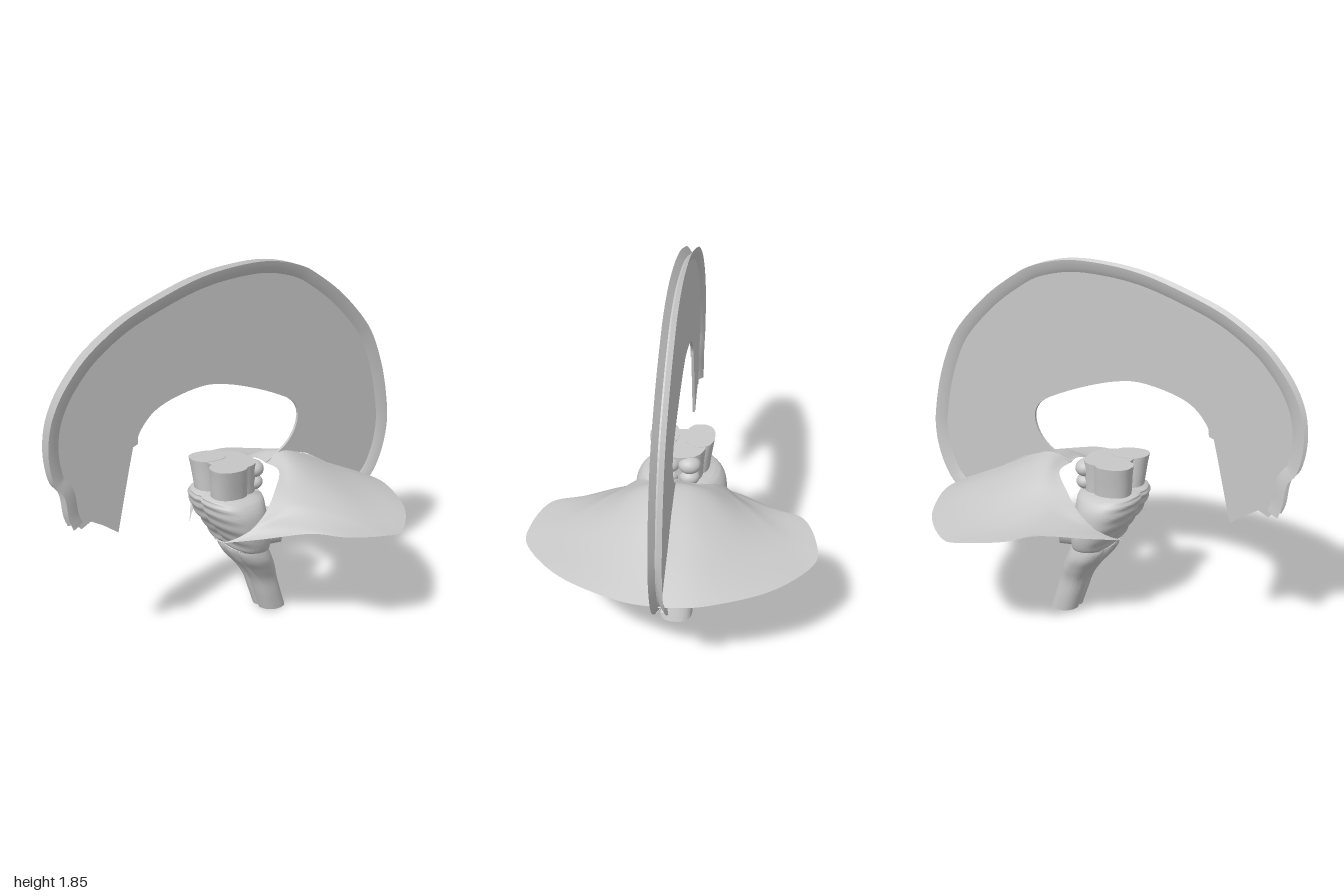
import * as THREE from 'three';
import { toCreasedNormals } from 'three/addons/utils/BufferGeometryUtils.js';

const tissue = new THREE.MeshStandardMaterial({ color: 0xc8c8c8, side: THREE.DoubleSide });

// Surface through rows of points; closed rows may be capped at both ends
function loft(rows, closed, crease = 0.8) {
  const n = rows[0].length, pos = [], idx = [];
  rows.forEach(r => r.forEach(p => pos.push(...p)));
  for (let i = 0; i < rows.length - 1; i++) {
    for (let j = 0; j < (closed ? n : n - 1); j++) {
      const a = i * n + j, d = i * n + (j + 1) % n;
      idx.push(a, a + n, d + n, a, d + n, d);
    }
  }
  if (closed) {
    [0, rows.length - 1].forEach((r, top) => {
      const c = pos.length / 3;
      pos.push(...[0, 1, 2].map(k => rows[r].reduce((s, p) => s + p[k], 0) / n));
      for (let j = 0; j < n; j++) {
        const a = r * n + j, b = r * n + (j + 1) % n;
        top ? idx.push(c, b, a) : idx.push(c, a, b);
      }
    });
  }
  const g = new THREE.BufferGeometry();
  g.setAttribute('position', new THREE.Float32BufferAttribute(pos, 3));
  g.setIndex(idx);
  return toCreasedNormals(g, crease);
}

const spline = pts => new THREE.CatmullRomCurve3(pts.map(p => new THREE.Vector3(p[0], p[1], p[2] || 0)), false, 'catmullrom');

// Stem from rings [y, centreX, radiusX, zFront, zBack]; shape() may move each point
function stem(rings, steps, shape = p => p) {
  const a = spline(rings.map(r => [r[0], r[1], r[2]])), b = spline(rings.map(r => [r[3], r[4]]));
  const rows = [];
  for (let i = 0; i <= steps; i++) {
    const t = i / steps, A = a.getPoint(t), B = b.getPoint(t);
    const mid = (B.x + B.y) / 2, rz = (B.x - B.y) / 2, row = [];
    for (let j = 0; j < 64; j++) {
      const w = j / 64 * Math.PI * 2, c = Math.cos(w), s = Math.sin(w);
      const z = rz * Math.sign(s) * Math.abs(s) ** 0.85;
      const x = A.z * Math.sign(c) * Math.abs(c) ** 0.85;
      row.push(shape([A.y + x, A.x + 0.06 * z, mid + z], t, s));
    }
    rows.push(row);
  }
  return loft(rows, true);
}

export function createModel() {
  const model = new THREE.Group();
  const add = (name, geo) => {
    const m = new THREE.Mesh(geo, tissue);
    m.name = name;
    model.add(m);
    return m;
  };
  const both = (name, make) => [1, -1].forEach(s => {
    const m = make((s > 0 ? 'left' : 'right') + name);
    m.scale.x *= s;
  });

  // Outer arc of the upright sheet, as (z, y), front to back
  const arc = spline([[0.9, 0.76], [0.92, 0.82], [0.935, 0.93], [0.98, 1.0], [1, 1.13], [0.985, 1.26],
    [0.94, 1.37], [0.87, 1.47], [0.77, 1.57], [0.6, 1.68], [0.4, 1.76], [0.2, 1.82], [0, 1.848],
    [-0.2, 1.848], [-0.38, 1.805], [-0.5, 1.74], [-0.65, 1.63], [-0.8, 1.48], [-0.88, 1.36],
    [-0.95, 1.18], [-0.99, 1.0], [-1, 0.88], [-0.98, 0.75], [-0.93, 0.63], [-0.86, 0.55], [-0.79, 0.49]]);
  const rimAt = (t, inset) => {
    const p = arc.getPoint(t), d = arc.getTangent(t);
    return [p.x - d.y * inset, p.y + d.x * inset];
  };

  // Thin upright sheet
  const outline = [];
  for (let i = 0; i <= 100; i++) outline.push(rimAt(i / 100, 0.035));
  outline.push([-0.79, 0.5], [-0.72, 0.6], [-0.6, 0.73], [-0.47, 0.81], [-0.33, 0.858], [-0.2, 0.82]);
  spline([[-0.2, 0.825], [-0.27, 0.855], [-0.34, 0.905], [-0.385, 0.97], [-0.4, 1.05], [-0.36, 1.12],
    [-0.25, 1.18], [-0.1, 1.24], [0.05, 1.285], [0.18, 1.3], [0.35, 1.27], [0.46, 1.22], [0.53, 1.14], [0.54, 1.09]])
    .getPoints(52).forEach(p => outline.push([p.x, p.y]));
  outline.push([0.565, 1.08], [0.585, 1.0], [0.62, 0.85], [0.66, 0.675], [0.74, 0.735], [0.8, 0.77], [0.85, 0.745]);
  const sheet = new THREE.ExtrudeGeometry(new THREE.Shape(outline.map(p => new THREE.Vector2(...p))),
    { depth: 0.014, bevelEnabled: false });
  sheet.rotateY(-Math.PI / 2).translate(0.007, 0, 0);
  add('uprightSheet', sheet);

  // Flared rim with a groove along its outer edge
  const section = [[0.03, 0], [0, 0.04], [-0.03, 0], [-0.022, 0.035], [-0.007, 0.06], [0.007, 0.06], [0.022, 0.035]];
  const rim = [];
  for (let i = 0; i <= 120; i++) {
    rim.push(section.map(([x, inset]) => {
      const [z, y] = rimAt(i / 120, inset);
      return [x, y, z];
    }));
  }
  add('sheetRim', loft(rim, true, 0.5));

  // Tent-like wings, lofted from the outer edge to the inner opening
  const wingCurves = [
    [[0, 0.6, -0.87], [0.2, 0.61, -0.85], [0.48, 0.61, -0.72], [0.67, 0.61, -0.52], [0.685, 0.63, -0.38],
      [0.62, 0.645, -0.21], [0.47, 0.63, -0.12], [0.3, 0.58, 0.05], [0.14, 0.53, 0.17]],
    [[0, 0.73, -0.6], [0.17, 0.7, -0.61], [0.36, 0.665, -0.54], [0.5, 0.65, -0.42], [0.53, 0.65, -0.33],
      [0.5, 0.65, -0.2], [0.39, 0.63, -0.08], [0.26, 0.575, 0.07], [0.14, 0.53, 0.17]],
    [[0, 0.86, -0.33], [0.1, 0.835, -0.32], [0.2, 0.79, -0.29], [0.28, 0.73, -0.22], [0.31, 0.7, -0.17],
      [0.31, 0.66, -0.1], [0.28, 0.62, 0], [0.215, 0.565, 0.1], [0.14, 0.53, 0.17]],
    [[0, 0.82, -0.2], [0.08, 0.815, -0.21], [0.13, 0.8, -0.19], [0.18, 0.76, -0.13], [0.22, 0.7, -0.06],
      [0.235, 0.65, 0], [0.225, 0.6, 0.06], [0.19, 0.56, 0.12], [0.14, 0.53, 0.17]],
  ].map(spline);
  const wingRows = Array.from({ length: 25 }, () => []);
  for (let j = 0; j <= 48; j++) {
    const across = spline(wingCurves.map(c => c.getPoint(j / 48).toArray()));
    wingRows.forEach((row, i) => row.push(across.getPoint(i / 24).toArray()));
  }
  const wing = loft(wingRows, false, 1.2);
  both('Wing', n => add(n, wing));

  // Lower stem, with a groove and rounded columns on the front of its upper part
  add('lowerStem', stem([[0.01, 0, 0.085, -0.155, -0.31], [0.1, 0, 0.09, -0.125, -0.28], [0.2, 0, 0.095, -0.09, -0.25],
    [0.28, 0, 0.12, -0.04, -0.225], [0.35, 0, 0.142, 0.02, -0.195], [0.41, 0, 0.14, 0.055, -0.17],
    [0.46, 0, 0.12, 0.05, -0.15]], 40, ([x, y, z], t, s) => {
    const front = Math.max(0, s), high = Math.min(1, t * 1.4) ** 2;
    return [x, y, z - front * (0.012 * Math.exp(-((x / 0.012) ** 2))
      + 0.018 * high * Math.exp(-(((Math.abs(x) - 0.075) / 0.012) ** 2)))];
  }));

  // Bulging middle body with fine cross ridges and a front groove
  add('middleBody', stem([[0.43, 0, 0.17, 0.06, -0.13], [0.45, 0, 0.205, 0.07, -0.14], [0.52, 0, 0.228, 0.11, -0.14],
    [0.6, 0, 0.232, 0.165, -0.13], [0.67, 0, 0.225, 0.195, -0.12], [0.715, 0, 0.2, 0.205, -0.12],
    [0.735, 0, 0.17, 0.19, -0.11]], 48, ([x, y, z], t, s) => {
    const front = Math.max(0, s);
    const ridge = 0.004 * Math.sin(t * 42 + 5 * Math.abs(x)) - 0.012 * Math.exp(-((x / 0.02) ** 2));
    return [x, y, z + front * ridge];
  }));

  // Cut oval stumps on the back of the middle body
  both('Stump', n => {
    const side = n.startsWith('left') ? 1 : -1;
    const g = new THREE.CylinderGeometry(0.075, 0.085, 0.14, 32);
    g.scale(0.8, 1, 1.25).rotateX(-Math.PI / 2).rotateY(-0.4).translate(0.125, 0.54, -0.115);
    const m = add(n, g);
    m.userData.side = side;
    return m;
  });

  // Upper stem: two front columns with a cleft between, and a core behind
  const column = stem([[0.71, 0.07, 0.068, 0.165, -0.02], [0.78, 0.077, 0.069, 0.172, -0.015],
    [0.84, 0.084, 0.071, 0.178, -0.01], [0.893, 0.09, 0.073, 0.186, -0.005]], 12);
  both('FrontColumn', n => add(n, column));
  add('upperCore', stem([[0.7, 0, 0.11, 0.1, -0.1], [0.78, 0, 0.115, 0.12, -0.1], [0.84, 0, 0.12, 0.13, -0.1],
    [0.887, 0, 0.125, 0.14, -0.1]], 12));

  // Four rounded bumps on the back of the upper stem
  both('BackBumps', n => {
    const g = new THREE.Group();
    g.name = n;
    [[0.835, 0.052], [0.765, 0.047]].forEach(([y, r]) => {
      const b = new THREE.Mesh(new THREE.SphereGeometry(r, 24, 16), tissue);
      b.name = 'backBump';
      b.position.set(0.052, y, -0.085);
      b.scale.set(1.1, 0.85, 1);
      g.add(b);
    });
    model.add(g);
    return g;
  });
  return model;
}
